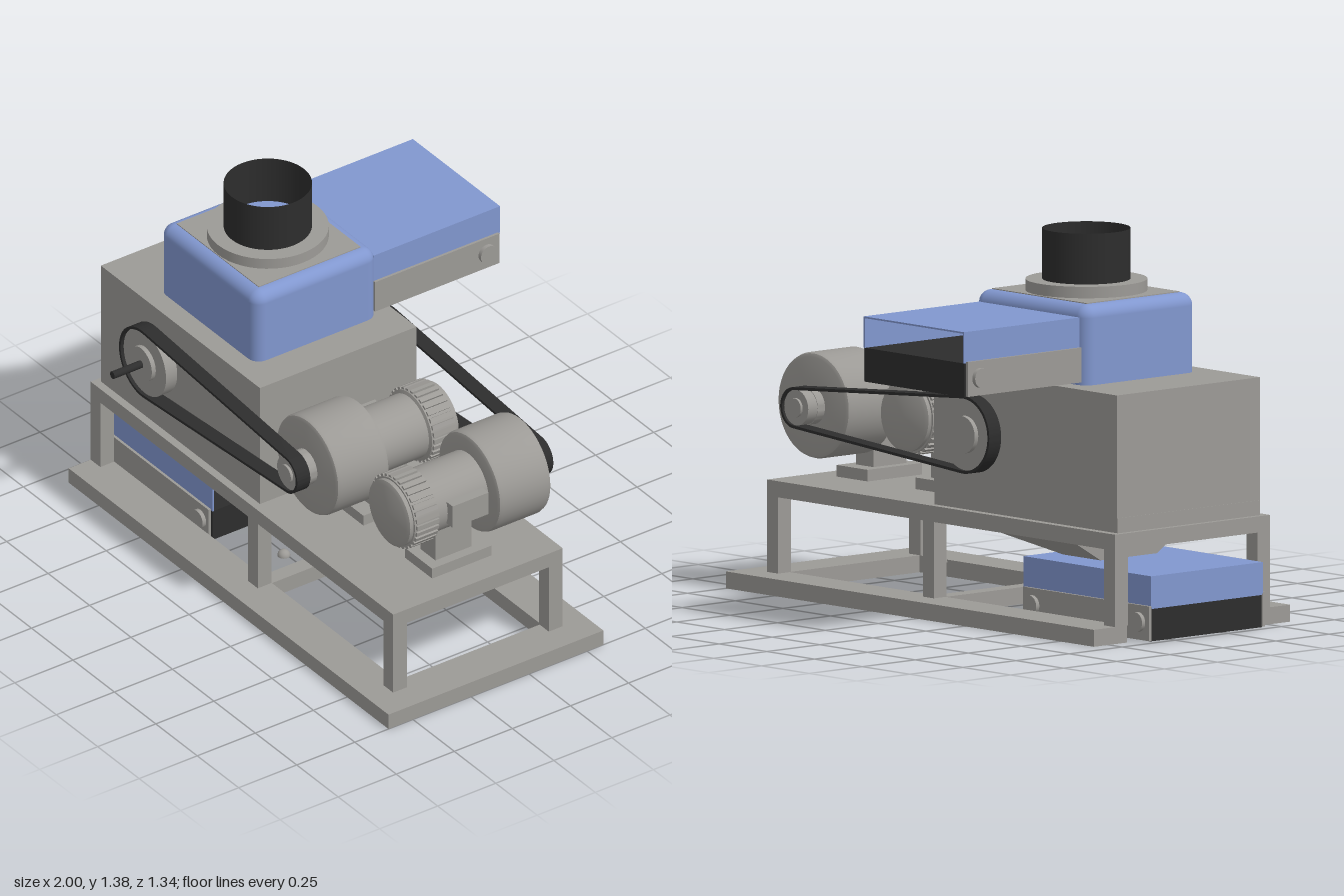
import * as THREE from 'three';
import { RoundedBoxGeometry } from 'three/addons/geometries/RoundedBoxGeometry.js';
import { toCreasedNormals } from 'three/addons/utils/BufferGeometryUtils.js';

const mat = (name, color, side = THREE.FrontSide) => {
  const m = new THREE.MeshStandardMaterial({ color, side });
  m.name = name;
  return m;
};

export function createModel() {
  const steel = mat('grey steel', 0x9c9a96);
  const blue = mat('blue paint', 0x8197cf, THREE.DoubleSide);
  const black = mat('black rubber', 0x2d2d2d, THREE.DoubleSide);
  const model = new THREE.Group();
  model.name = 'crusherMachine';

  const add = (parent, name, geo, material) => {
    const mesh = new THREE.Mesh(geo, material);
    mesh.name = name;
    parent.add(mesh);
    return mesh;
  };
  // Box given by its limits on each axis
  const box = (parent, name, material, x0, x1, y0, y1, z0, z1) => {
    const mesh = add(parent, name, new THREE.BoxGeometry(x1 - x0, y1 - y0, z1 - z0), material);
    mesh.position.set((x0 + x1) / 2, (y0 + y1) / 2, (z0 + z1) / 2);
    return mesh;
  };
  // Cylinder lying along z
  const rod = (parent, name, material, r, x, y, z0, z1) => {
    const geo = new THREE.CylinderGeometry(r, r, z1 - z0, 40).rotateX(Math.PI / 2);
    const mesh = add(parent, name, geo, material);
    mesh.position.set(x, y, (z0 + z1) / 2);
    return mesh;
  };
  const group = (name) => {
    const g = new THREE.Group();
    g.name = name;
    model.add(g);
    return g;
  };

  // Base, open on the -x end for the lower conveyor
  const frame = group('frame');
  box(frame, 'baseFrontBeam', steel, -0.93, 1, 0, 0.06, 0.45, 0.605);
  box(frame, 'baseBackBeam', steel, -0.93, 1, 0, 0.06, -0.32, -0.165);
  box(frame, 'baseEndBeam', steel, 0.84, 1, 0, 0.06, -0.165, 0.45);
  box(frame, 'baseCrossBeam', steel, 0.02, 0.08, 0, 0.06, -0.165, 0.45);

  // Table on six legs, with rails under the plate
  box(frame, 'tablePlate', steel, -0.93, 0.895, 0.37, 0.387, -0.22, 0.51);
  for (const z of [-0.22, 0.45]) {
    box(frame, 'tableRail', steel, -0.93, 0.895, 0.33, 0.37, z, z + 0.06);
    for (const x of [-0.93, 0.02, 0.837]) box(frame, 'leg', steel, x, x + 0.058, 0.06, 0.33, z, z + 0.06);
  }
  for (const x of [-0.93, 0.837]) box(frame, 'tableEndRail', steel, x, x + 0.058, 0.33, 0.37, -0.16, 0.45);
  for (const z of [-0.12, 0.41]) {
    const knob = add(frame, 'knob', new THREE.SphereGeometry(0.023, 20, 8, 0, Math.PI * 2, 0, Math.PI / 2), steel);
    knob.position.set(0.095, 0.17, z);
    const under = add(frame, 'knobUnderside', new THREE.CircleGeometry(0.023, 20).rotateX(Math.PI / 2), steel);
    under.position.copy(knob.position);
  }

  // Crushing chamber
  box(model, 'chamberBase', steel, -0.91, 0.05, 0.387, 0.44, -0.19, 0.48);
  box(model, 'chamber', steel, -0.908, 0.052, 0.44, 0.875, -0.192, 0.482);

  // Discharge hopper: a box whose lower corners move in
  const hopperGeo = new THREE.BoxGeometry(1, 1, 1).toNonIndexed();
  const p = hopperGeo.attributes.position;
  for (let i = 0; i < p.count; i++) {
    const top = p.getY(i) > 0;
    const right = p.getX(i) > 0, front = p.getZ(i) > 0;
    p.setXYZ(i, right ? (top ? -0.12 : -0.4) : -0.59, top ? 0.325 : 0.235,
      front ? (top ? 0.42 : 0.28) : (top ? -0.13 : 0.02));
  }
  hopperGeo.computeVertexNormals();
  add(model, 'dischargeHopper', hopperGeo, steel);
  box(model, 'hopperFlange', steel, -0.62, -0.11, 0.323, 0.372, -0.14, 0.43);

  // Blue intake housing with a grey roof, collar and feed pipe
  const housing = group('intakeHousing');
  add(housing, 'housingShell', new RoundedBoxGeometry(0.585, 0.34, 0.528, 5, 0.045), blue)
    .position.set(-0.3725, 0.987, 0.142);
  box(housing, 'roofPlate', steel, -0.62, -0.125, 1.153, 1.16, -0.077, 0.361);
  const collar = add(housing, 'pipeCollar', new THREE.CylinderGeometry(0.214, 0.214, 0.045, 48), steel);
  collar.position.set(-0.373, 1.178, 0.145);
  const pipe = add(housing, 'feedPipe', new THREE.CylinderGeometry(0.155, 0.155, 0.18, 48, 1, true), black);
  pipe.position.set(-0.373, 1.29, 0.145);
  const floor = add(housing, 'pipeFloor', new THREE.CircleGeometry(0.153, 48).rotateX(-Math.PI / 2), blue);
  floor.position.set(-0.373, 1.203, 0.145);

  // Conveyor along local z from 0 to length, cover open at the far end
  function conveyor(name, length, rollers) {
    const g = group(name);
    box(g, 'conveyorBelt', black, -0.262, 0.262, 0, 0.12, 0.004, length - 0.002);
    for (const s of [-1, 1]) {
      const rail = box(g, 'sideRail', steel, -0.006, 0.006, 0.002, 0.125, 0, length - 0.01);
      rail.position.x = s * 0.267;
      for (const z of rollers) {
        const pin = add(g, 'rollerPin', new THREE.CylinderGeometry(0.035, 0.035, 0.018, 24).rotateZ(Math.PI / 2), steel);
        pin.position.set(s * 0.279, 0.065, z);
      }
      box(g, 'coverSide', blue, s * 0.26 - 0.003, s * 0.26 + 0.003, 0.12, 0.23, 0, length);
    }
    box(g, 'coverTop', blue, -0.263, 0.263, 0.225, 0.231, 0, length);
    box(g, 'coverEnd', blue, -0.26, 0.26, 0.115, 0.226, 0, 0.006);
    return g;
  }
  const upper = conveyor('upperConveyor', 0.545, [0.48]);
  upper.rotation.y = Math.PI;
  upper.position.set(-0.37, 0.884, -0.12);
  const lower = conveyor('lowerConveyor', 0.67, [0.055, 0.61]);
  lower.rotation.y = Math.PI / 2;
  lower.position.set(-1, 0.006, 0.15);

  // Motor along local z, drum to the +z side
  function motor(name) {
    const g = group(name);
    const outline = [[0, -0.122], [0.11, -0.122], [0.125, -0.115], [0.125, -0.1], [0.132, -0.1], [0.132, 0.005],
      [0.12, 0.01], [0.12, 0.225], [0.172, 0.225], [0.184, 0.23], [0.188, 0.242], [0.188, 0.435],
      [0.184, 0.446], [0.172, 0.451], [0.065, 0.451], [0.065, 0.485], [0, 0.485]];
    const body = new THREE.LatheGeometry(outline.map(([r, y]) => new THREE.Vector2(r, y)), 48);
    add(g, 'motorBody', toCreasedNormals(body.rotateX(Math.PI / 2), 0.6), steel);
    for (let i = 0; i < 32; i++) {
      const a = (i / 32) * Math.PI * 2;
      const rib = box(g, 'coolingRib', steel, -0.008, 0.008, -0.008, 0.008, -0.095, 0);
      rib.position.set(Math.cos(a) * 0.132, Math.sin(a) * 0.132, -0.047);
      rib.rotation.z = a;
    }
    box(g, 'terminalBox', steel, -0.15, -0.1, -0.045, 0.045, 0.05, 0.205);
    box(g, 'motorPost', steel, -0.045, 0.045, -0.24, -0.1, 0.05, 0.205);
    box(g, 'motorFoot', steel, -0.082, 0.082, -0.28, -0.237, 0.01, 0.265);
    return g;
  }
  motor('frontMotor').position.set(0.29, 0.665, 0);
  const backMotor = motor('backMotor');
  backMotor.rotation.y = Math.PI;
  backMotor.position.set(0.705, 0.665, 0.275);

  // Outline of a belt around two pulleys
  function beltPath(Type, d, r1, r2) {
    const path = new Type();
    const a = Math.acos((r1 - r2) / d);
    path.absarc(0, 0, r1, a, Math.PI * 2 - a, false);
    path.absarc(d, 0, r2, -a, a, false);
    path.closePath();
    return path;
  }
  function drive(name, x, z, d, side) {
    const g = group(name);
    const shape = beltPath(THREE.Shape, d, 0.138, 0.073);
    shape.holes.push(beltPath(THREE.Path, d, 0.128, 0.063));
    const belt = new THREE.ExtrudeGeometry(shape, { depth: 0.056, bevelEnabled: false, curveSegments: 32 });
    add(g, 'driveBelt', toCreasedNormals(belt.translate(0, 0, -0.028), 0.6), black);
    // Drive pulleys with raised hubs on the outer side
    const disc = (label, r, px, a, b) => rod(g, label, steel, r, px, 0, Math.min(a * side, b * side), Math.max(a * side, b * side));
    disc('largePulley', 0.128, 0, -0.035, 0.015);
    disc('largePulleyHub', 0.066, 0, 0.01, 0.032);
    disc('smallPulley', 0.063, d, -0.03, 0.018);
    disc('smallPulleyHub', 0.034, d, 0.015, 0.028);
    g.position.set(x, 0.665, z);
    return g;
  }
  drive('frontDrive', -0.575, 0.515, 0.865, 1);
  drive('backDrive', -0.18, -0.235, 0.885, -1);
  rod(model, 'rotorShaft', black, 0.014, -0.575, 0.665, 0.53, 0.67);

  return model;
}
